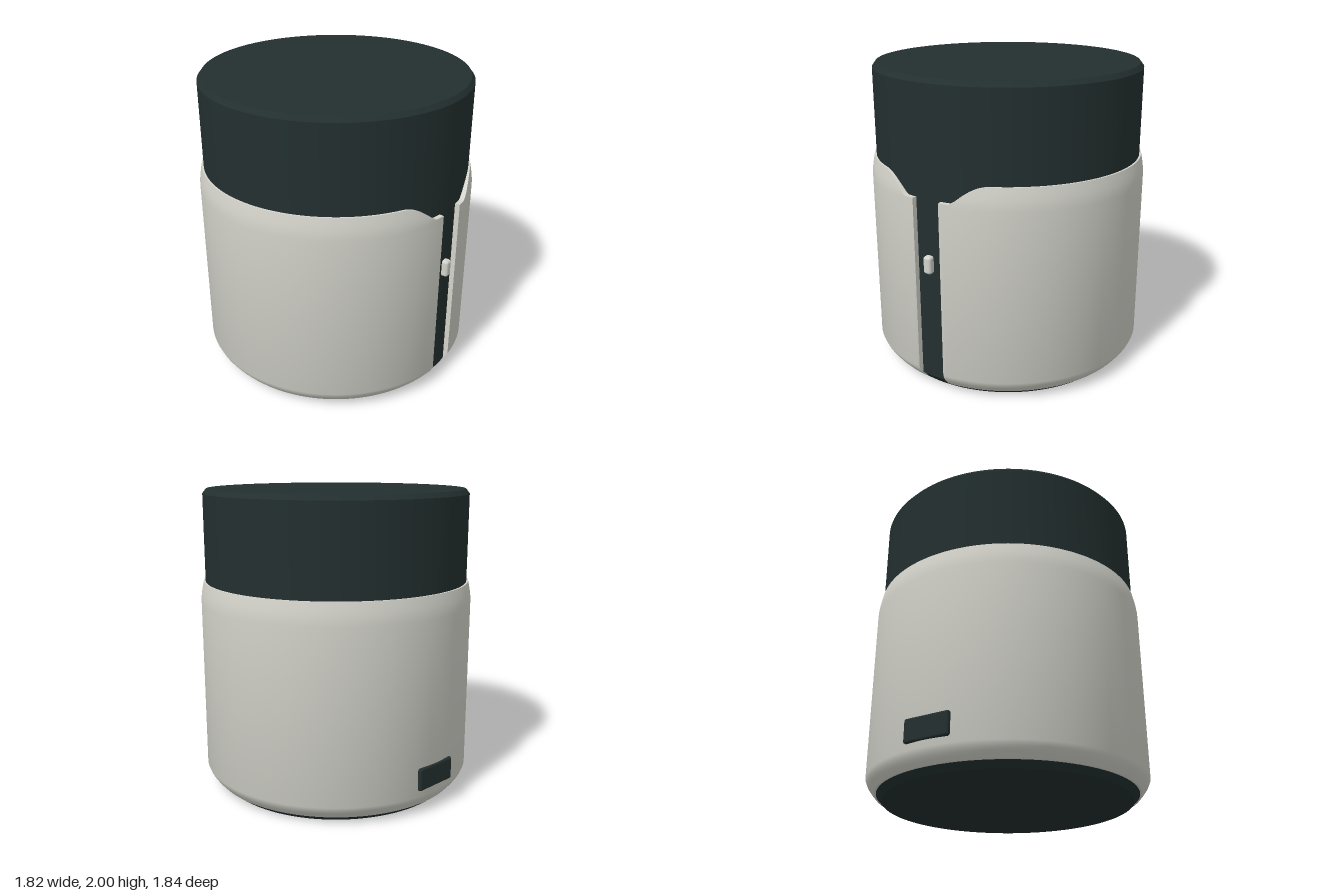
import * as THREE from 'three';
import { toCreasedNormals } from 'three/addons/utils/BufferGeometryUtils.js';
import { RoundedBoxGeometry } from 'three/addons/geometries/RoundedBoxGeometry.js';

const dark = new THREE.MeshStandardMaterial({ color: 0x232f2f });
dark.name = 'dark slate';
const pale = new THREE.MeshStandardMaterial({ color: 0xd3d3cb });
pale.name = 'warm grey';

const GAP = 0.095; // half width of the front slot
const R = 0.91; // outer radius of the sleeve

// Sleeve radius at a height: tucked in at the foot, tapered at the rim
function sleeveRadius(y) {
  if (y < 0.13) return R - 0.06 * Math.pow((0.13 - y) / 0.09, 1.4);
  if (y > 1.28) return R - 0.02 * Math.pow((y - 1.28) / 0.12, 1.4);
  return R;
}

// Rim height: dips beside the front slot
function rimHeight(angle) {
  const x = Math.abs(Math.sin(angle)) * R;
  if (Math.cos(angle) < 0) return 1.4;
  const t = THREE.MathUtils.clamp((x - 0.17) / 0.23, 0, 1);
  return 1.28 + 0.12 * Math.sin(t * Math.PI / 2);
}

// Closed cross-section [radius, y]: up the outside, down the inside
function sleeveSection(angle) {
  const h = rimHeight(angle);
  const ys = [0.04, 0.06, 0.08, 0.1, 0.13];
  for (let k = 0; k <= 5; k++) ys.push(1.22 + (h - 1.22) * k / 5);
  const outer = ys.map((y) => [sleeveRadius(y), y]);
  const inner = ys.map((y) => [Math.min(0.872, sleeveRadius(y) - 0.02), y]).reverse();
  return outer.concat(inner);
}

// Sweep the section around the body, leaving the slot open at the front
function sleeveGeometry() {
  const steps = 240, start = Math.asin(GAP / R);
  const pos = [], index = [];
  let m = 0;
  for (let i = 0; i <= steps; i++) {
    const a = start + (2 * Math.PI - 2 * start) * i / steps;
    const section = sleeveSection(a);
    m = section.length;
    for (const [r, y] of section) pos.push(r * Math.sin(a), y, r * Math.cos(a));
  }
  for (let i = 0; i < steps; i++) {
    for (let j = 0; j < m; j++) {
      const a = i * m + j, b = i * m + (j + 1) % m;
      index.push(a, a + m, b + m, a, b + m, b);
    }
  }
  // end faces on both sides of the slot
  const e = steps * m;
  for (let k = 0; k < m / 2 - 1; k++) {
    const p = k, q = k + 1, s = m - 2 - k, t = m - 1 - k;
    index.push(p, q, s, p, s, t);
    index.push(e + p, e + s, e + q, e + p, e + t, e + s);
  }
  const g = new THREE.BufferGeometry();
  g.setAttribute('position', new THREE.Float32BufferAttribute(pos, 3));
  g.setIndex(index);
  return toCreasedNormals(g, 0.6);
}

export function createModel() {
  const model = new THREE.Group();
  const add = (name, geometry, material, x = 0, y = 0, z = 0) => {
    const mesh = new THREE.Mesh(geometry, material);
    mesh.name = name;
    mesh.position.set(x, y, z);
    model.add(mesh);
  };

  // Bevelled cylinder inside the sleeve
  const profile = [[0, 0], [0.8, 0], [0.878, 0.08], [0.878, 1.97], [0.855, 2], [0, 2]]
    .map(([r, y]) => new THREE.Vector2(r, y));
  add('core', toCreasedNormals(new THREE.LatheGeometry(profile, 128), 0.5), dark);

  add('sleeve', sleeveGeometry(), pale);

  // Small button in the slot and the port cover at the back
  add('button', new RoundedBoxGeometry(0.056, 0.115, 0.055, 4, 0.018), pale, 0, 0.865, 0.89);
  add('portCover', new RoundedBoxGeometry(0.31, 0.15, 0.05, 4, 0.015), dark, 0, 0.245, -0.895);

  return model;
}
